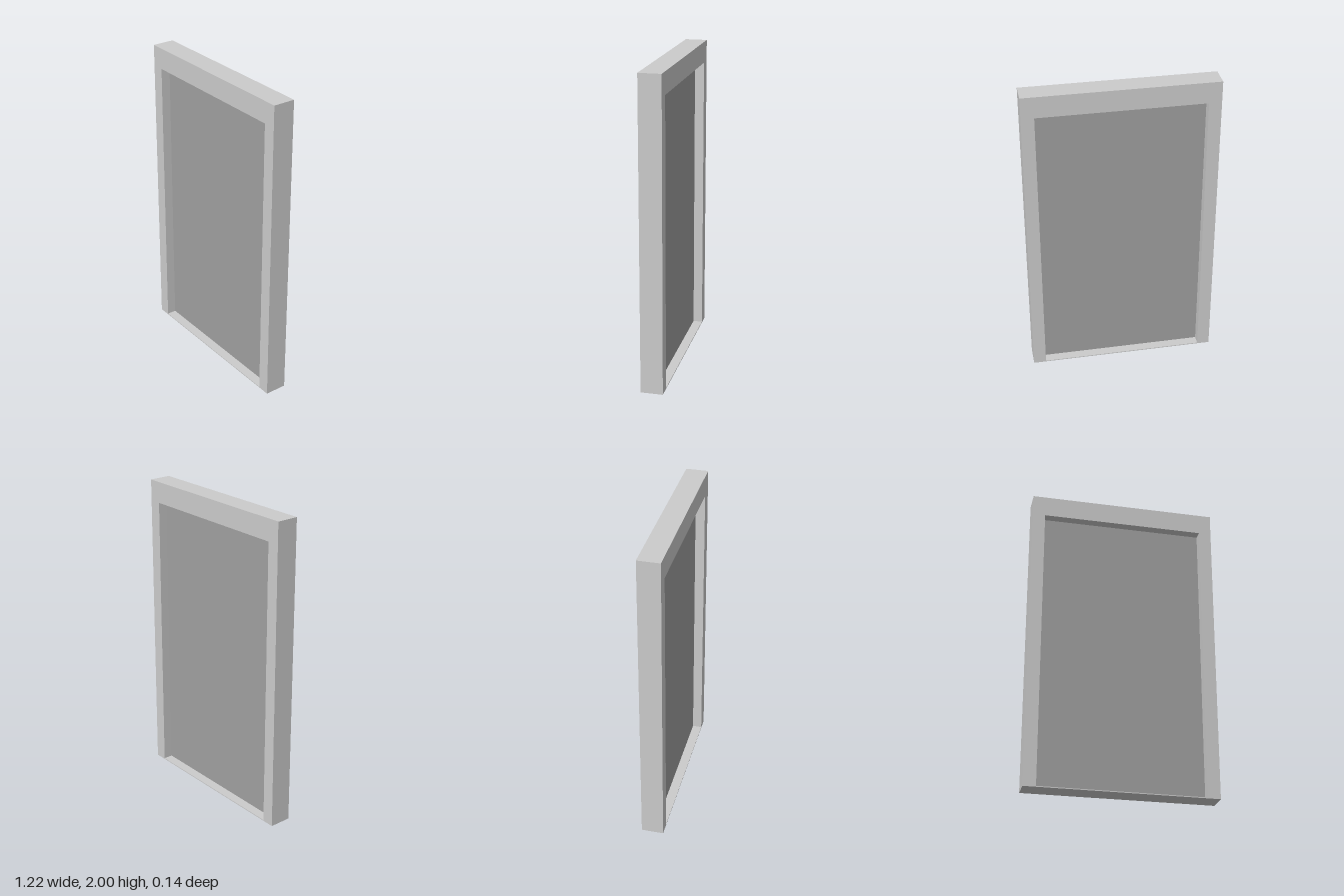
import * as THREE from 'three';

const W = 1.215, H = 2, D = 0.142;            // outer frame
const OPEN_X = 0.527, OPEN_LOW = 0.006, OPEN_TOP = 1.863; // opening
const PANEL_D = 0.02;

export function createModel() {
  const group = new THREE.Group();
  group.name = 'framedPanel';

  // Frame: one extruded outline with a rectangular opening and a thin sill
  const outline = new THREE.Shape([
    new THREE.Vector2(-W / 2, 0), new THREE.Vector2(W / 2, 0),
    new THREE.Vector2(W / 2, H), new THREE.Vector2(-W / 2, H),
  ]);
  outline.holes.push(new THREE.Path([
    new THREE.Vector2(-OPEN_X, OPEN_LOW), new THREE.Vector2(-OPEN_X, OPEN_TOP),
    new THREE.Vector2(OPEN_X, OPEN_TOP), new THREE.Vector2(OPEN_X, OPEN_LOW),
  ]));
  const frameGeometry = new THREE.ExtrudeGeometry(outline, { depth: D, bevelEnabled: false });
  frameGeometry.translate(0, 0, -D / 2);
  const frame = new THREE.Mesh(frameGeometry, new THREE.MeshStandardMaterial({ color: 0xcccccc }));
  frame.name = 'frame';

  // Darker panel, set back equally from both faces
  const panel = new THREE.Mesh(
    new THREE.BoxGeometry(OPEN_X * 2, OPEN_TOP - OPEN_LOW, PANEL_D),
    new THREE.MeshStandardMaterial({ color: 0xa0a0a0 }),
  );
  panel.position.y = (OPEN_LOW + OPEN_TOP) / 2;
  panel.name = 'panel';

  group.add(frame, panel);
  return group;
}
